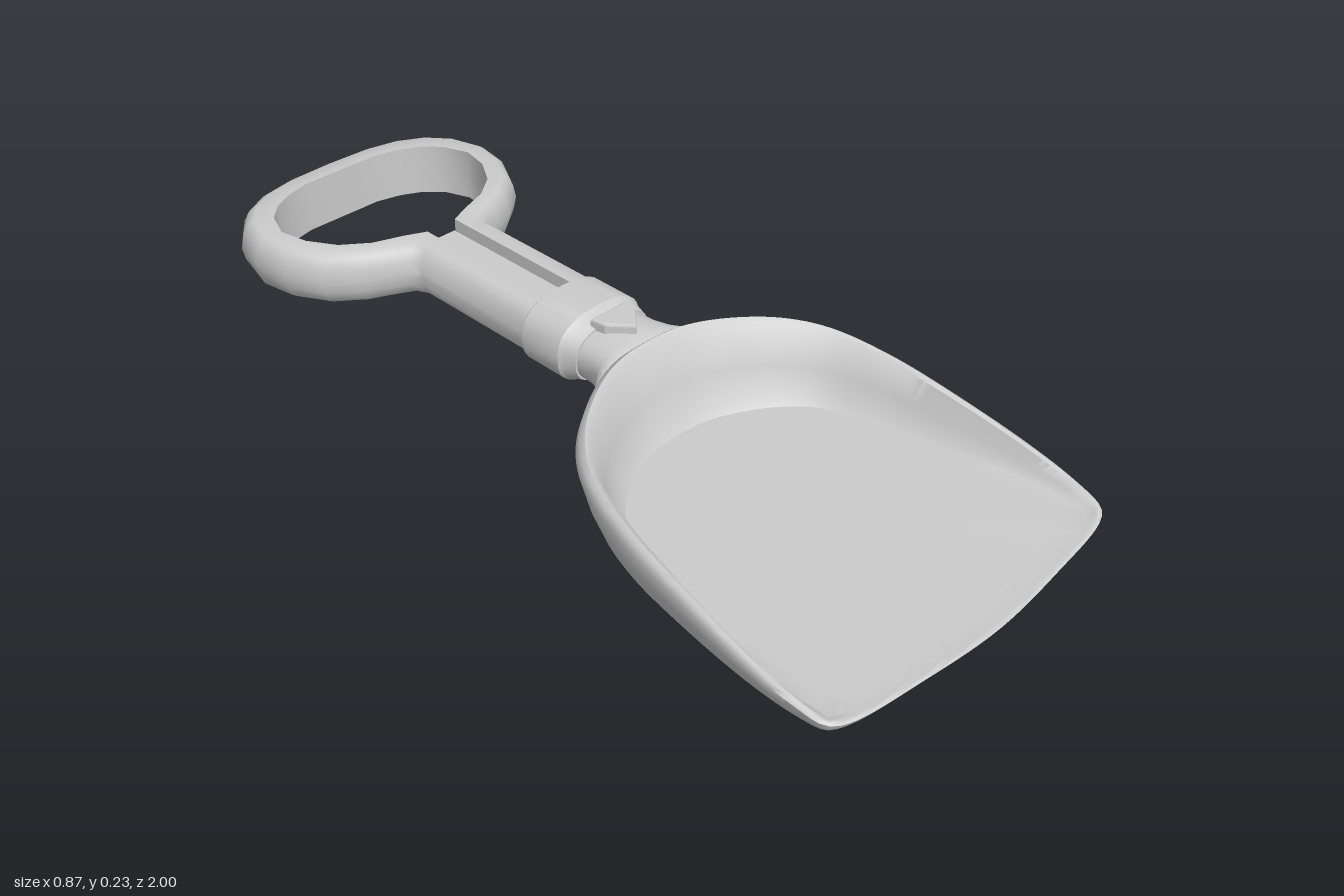
import * as THREE from 'three';
import { toCreasedNormals } from 'three/addons/utils/BufferGeometryUtils.js';

const V = (x, y, z) => new THREE.Vector3(x, y, z);
const lerp = THREE.MathUtils.lerp;
const material = new THREE.MeshStandardMaterial({ color: 0xcccccc });

// Skin over closed rings of equal length, capped at both ends, facing outwards
function loft(rings, crease) {
  const n = rings[0].length;
  const points = rings.flat();
  const index = [];
  for (let r = 0; r < rings.length - 1; r++) {
    for (let i = 0; i < n; i++) {
      const a = r * n + i, b = r * n + (i + 1) % n;
      index.push(a, b, a + n, b, b + n, a + n);
    }
  }
  for (const r of [0, rings.length - 1]) {
    const centre = V(0, 0, 0);
    rings[r].forEach((p) => centre.addScaledVector(p, 1 / n));
    const c = points.push(centre) - 1;
    for (let i = 0; i < n; i++) {
      const a = r * n + i, b = r * n + (i + 1) % n;
      if (r === 0) index.push(c, b, a);
      else index.push(c, a, b);
    }
  }
  let volume = 0;
  for (let i = 0; i < index.length; i += 3) {
    const [a, b, c] = [0, 1, 2].map((k) => points[index[i + k]]);
    volume += a.dot(b.clone().cross(c));
  }
  if (volume < 0) index.reverse();
  const geometry = new THREE.BufferGeometry().setFromPoints(points);
  geometry.setIndex(index);
  return toCreasedNormals(geometry, crease);
}

// Rounded-square section across the z axis
function section(z, halfWidth, halfHeight, y, power) {
  return Array.from({ length: 32 }, (_, i) => {
    const a = (i / 32) * Math.PI * 2;
    const bulge = (v) => Math.sign(v) * Math.abs(v) ** (2 / power);
    return V(halfWidth * bulge(Math.cos(a)), y + halfHeight * bulge(Math.sin(a)), z);
  });
}

// Scoop: plan outline inset ring by ring, from the underside over the rim to the floor
function scoopGeometry() {
  const half = [
    [0.1, 0.095], [0.2, 0.135], [0.3, 0.205], [0.365, 0.29], [0.405, 0.42], [0.427, 0.6],
    [0.437, 0.78], [0.433, 0.88], [0.42, 0.94], [0.385, 0.962], [0.2, 0.987],
  ];
  const outline = [
    V(0, 0, 0.085), ...half.map(([x, z]) => V(x, 0, z)),
    V(0, 0, 1), ...half.map(([x, z]) => V(-x, 0, z)).reverse(),
  ];
  const curve = new THREE.CatmullRomCurve3(outline, true, 'centripetal');
  const count = 160;
  const ring = (rule, shrink = 0) => Array.from({ length: count }, (_, i) => {
    const p = curve.getPointAt(i / count), t = curve.getTangentAt(i / count);
    const u = 1 - p.z;
    const h = 0.012 + 0.265 * u - 0.05 * u * u;
    const [inset, y] = rule({
      h,
      base: 0.012 + 1.45 * h * h,
      rim: 0.01 + 0.11 * h,
      floorInset: 0.018 + 0.42 * h,
      floor: Math.min(0.018, h * 0.9),
    });
    return V((p.x - t.z * inset) * (1 - shrink), y, lerp(p.z + t.x * inset, 0.58, shrink));
  });
  return loft([
    ring((s) => [s.base, 0], 0.1),
    ring((s) => [s.base, 0]),
    ring((s) => [s.base * 0.75, s.h * 0.08]),
    ring((s) => [s.base * 0.3, s.h * 0.45]),
    ring(() => [0, 0]).map((p) => {
      const u = 1 - p.z;
      return V(p.x, 0.82 * (0.012 + 0.265 * u - 0.05 * u * u), p.z);
    }),
    ring((s) => [s.rim * 0.25, s.h * 0.96]),
    ring((s) => [s.rim * 0.6, s.h]),
    ring((s) => [s.rim, s.h * 0.96]),
    ring((s) => [lerp(s.rim, s.floorInset, 0.4), lerp(s.floor, s.h, 0.45)]),
    ring((s) => [lerp(s.rim, s.floorInset, 0.75), lerp(s.floor, s.h, 0.12)]),
    ring((s) => [s.floorInset, s.floor]),
    ring((s) => [s.floorInset, s.floor], 0.1),
  ], 0.75);
}

// Handle: one arm of the split shaft, round the grip ring and back down the other arm
function handleGeometry() {
  // inner x, inner z, outer x, outer z
  const half = [
    [0.04, -0.12, 0.105, -0.12], [0.04, -0.5, 0.105, -0.5], [0.04, -0.552, 0.125, -0.518],
    [0.09, -0.575, 0.165, -0.54], [0.16, -0.6, 0.22, -0.57], [0.22, -0.645, 0.285, -0.62],
    [0.26, -0.71, 0.33, -0.7], [0.275, -0.78, 0.345, -0.79], [0.25, -0.845, 0.325, -0.875],
    [0.21, -0.885, 0.28, -0.935], [0.16, -0.91, 0.21, -0.975], [0.1, -0.925, 0.12, -0.993],
  ];
  const stations = [
    ...half, [0, -0.925, 0, -1],
    ...half.map(([a, b, c, d]) => [-a, b, -c, d]).reverse(),
  ];
  // flat inner face, rounded outer face
  const profile = [
    [0, 0.09], [0.58, 0.09], [0.78, 0.1], [0.92, 0.123], [1, 0.152],
    [0.92, 0.182], [0.78, 0.205], [0.58, 0.215], [0, 0.215],
  ];
  return loft(stations.map(([ix, iz, ox, oz]) =>
    profile.map(([t, y]) => V(lerp(ix, ox, t), y, lerp(iz, oz, t)))), 0.9);
}

export function createModel() {
  const group = new THREE.Group();
  const add = (name, geometry) => {
    const mesh = new THREE.Mesh(geometry, material);
    mesh.name = name;
    group.add(mesh);
    return mesh;
  };

  add('scoop', scoopGeometry());
  add('handle', handleGeometry());

  // Recessed web between the two shaft arms
  add('shaftWeb', new THREE.BoxGeometry(0.082, 0.065, 0.435)).position.set(0, 0.152, -0.3375);

  // Socket flaring into the back of the scoop
  add('neck', loft([
    section(-0.06, 0.103, 0.063, 0.152, 2.4),
    section(0, 0.102, 0.063, 0.152, 2.4),
    section(0.04, 0.104, 0.063, 0.152, 2.4),
    section(0.075, 0.12, 0.062, 0.151, 2.4),
    section(0.1, 0.15, 0.058, 0.149, 2.4),
    section(0.115, 0.165, 0.05, 0.147, 2.4),
  ], 0.7));

  // Raised sleeve holding the shaft
  add('collar', loft([
    section(-0.155, 0.114, 0.077, 0.152, 2.5),
    section(-0.149, 0.12, 0.083, 0.152, 2.5),
    section(-0.04, 0.12, 0.083, 0.152, 2.5),
    section(-0.032, 0.114, 0.077, 0.152, 2.5),
    section(0, 0.106, 0.066, 0.152, 2.5),
  ], 0.6));

  // Arrow-shaped catch on top of the neck
  const arrow = new THREE.Shape([[-0.045, -0.008], [0.045, -0.008], [0.04, 0.02], [0, 0.065], [-0.04, 0.02]]
    .map(([x, y]) => new THREE.Vector2(x, y)));
  const catchGeometry = new THREE.ExtrudeGeometry(arrow, {
    depth: 0.035, bevelThickness: 0.005, bevelSize: 0.005, bevelSegments: 2,
  });
  add('catch', catchGeometry.rotateX(Math.PI / 2)).position.y = 0.229;

  return group;
}
